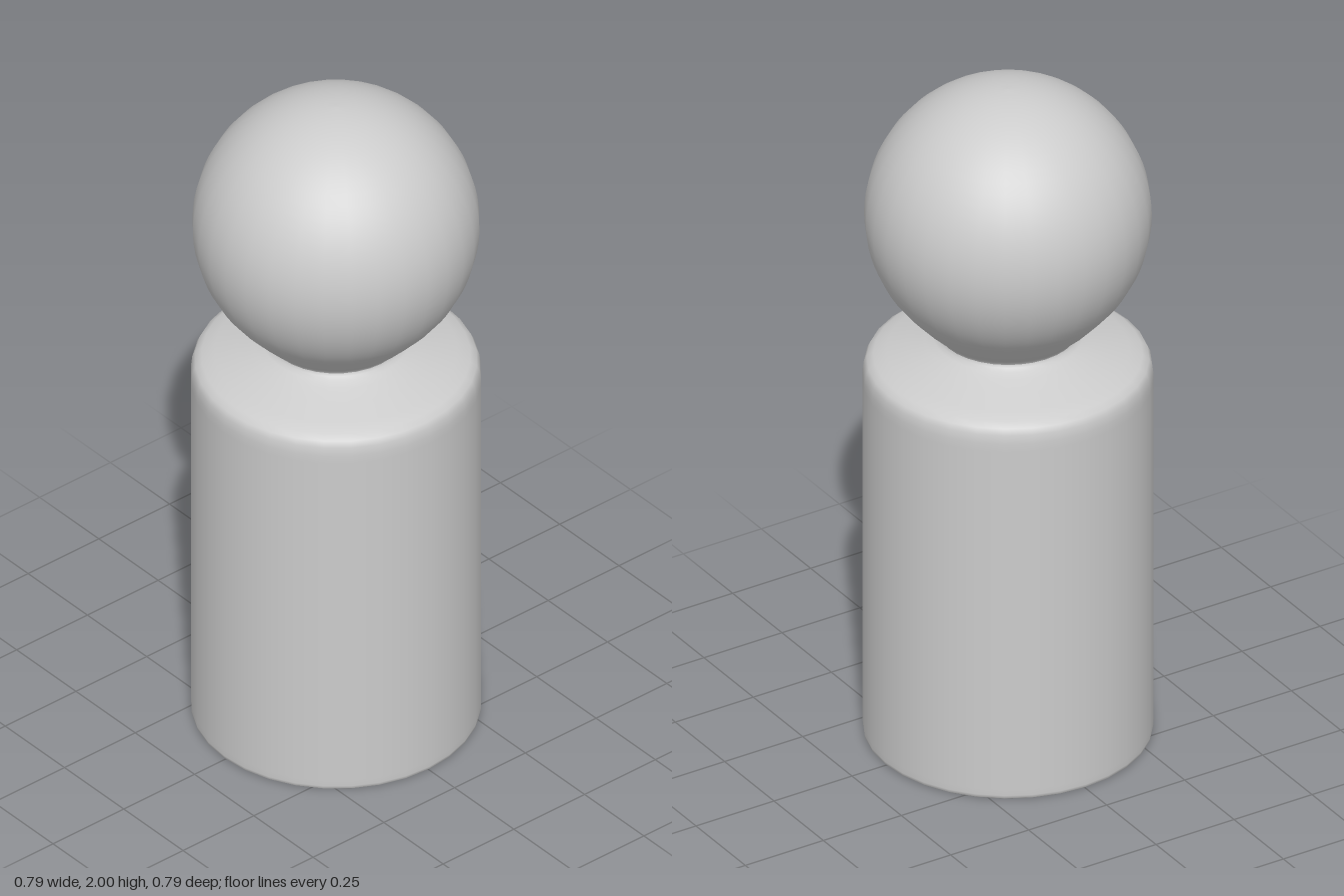
import * as THREE from 'three';

const SEGMENTS = 32;
const material = new THREE.MeshStandardMaterial({ color: 0xcccccc });

function addPart(group, name, geometry) {
  const mesh = new THREE.Mesh(geometry, material);
  mesh.name = name;
  group.add(mesh);
  return mesh;
}

function lathe(points) {
  return new THREE.LatheGeometry(points.map(([r, y]) => new THREE.Vector2(r, y)), SEGMENTS);
}

export function createModel() {
  const group = new THREE.Group();
  group.name = 'pegFigure';

  // Cylindrical body with a tiny foot bevel, rounded shoulder and pinched neck
  addPart(group, 'body', lathe([
    [0.388, 0], [0.393, 0.004], [0.394, 0.012], [0.394, 0.03], [0.394, 1.09], [0.394, 1.115],
    [0.391, 1.14], [0.383, 1.157], [0.365, 1.17], [0.33, 1.183], [0.27, 1.202],
    [0.225, 1.219], [0.203, 1.229], [0.193, 1.237], [0.19, 1.245],
  ]));

  // Flat underside
  const base = addPart(group, 'base', new THREE.CircleGeometry(0.388, SEGMENTS));
  base.rotation.x = Math.PI / 2;

  // Round head, flowing from the neck into the ball
  const radius = 0.39, centre = 1.61, steps = 28;
  const head = [[0.19, 1.245], [0.193, 1.252], [0.203, 1.262], [0.235, 1.29]];
  const start = Math.asin(0.28 / radius);
  for (let i = 0; i <= steps; i++) {
    const a = start + (Math.PI - start) * i / steps;
    head.push([i === steps ? 0 : radius * Math.sin(a), centre - radius * Math.cos(a)]);
  }
  addPart(group, 'head', lathe(head));

  return group;
}
